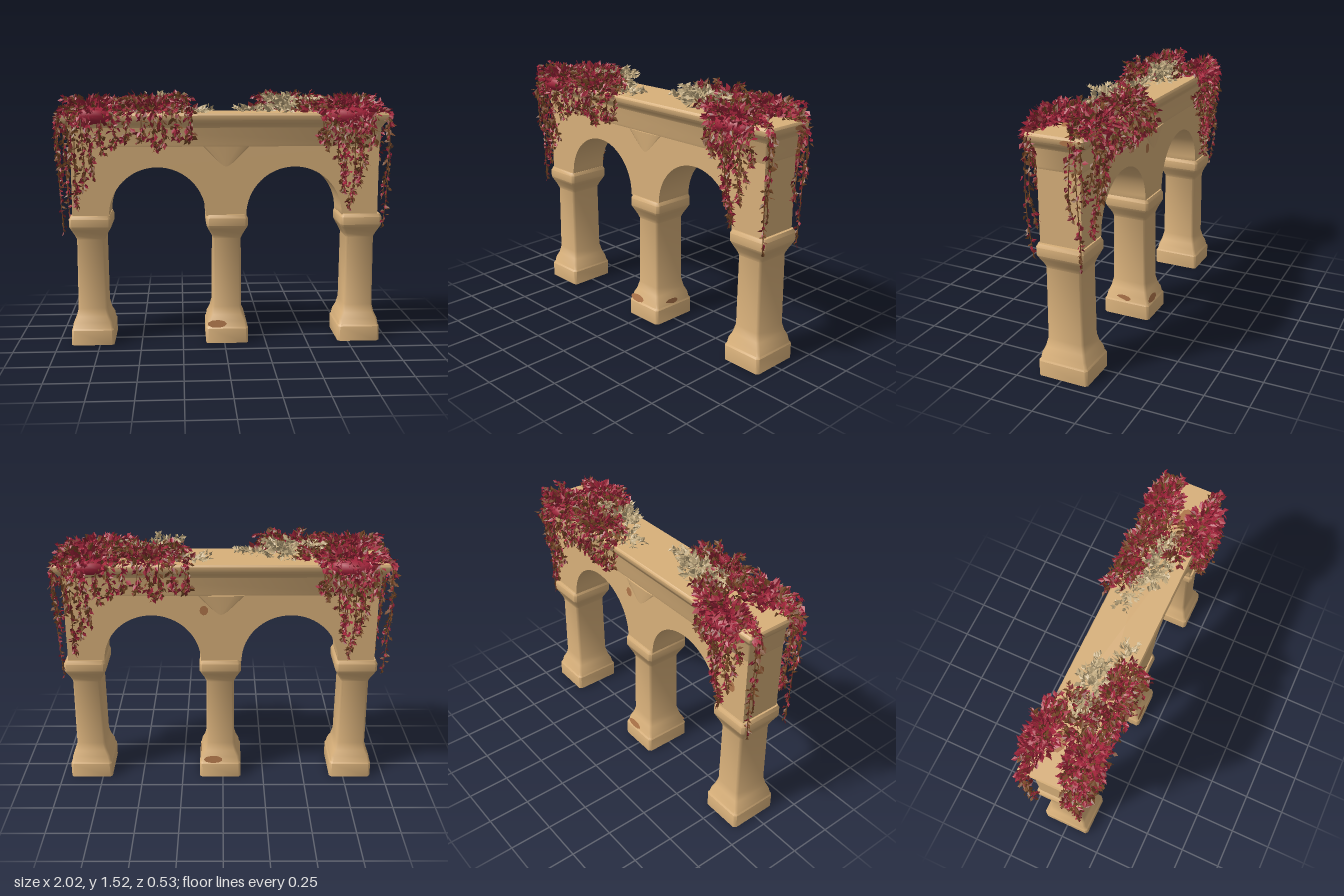
import * as THREE from 'three';
import { toCreasedNormals, mergeGeometries } from 'three/addons/utils/BufferGeometryUtils.js';

const mat = (name, color, side = THREE.FrontSide) => {
  const m = new THREE.MeshStandardMaterial({ color, side });
  m.name = name;
  return m;
};
const V = (x, y, z) => new THREE.Vector3(x, y, z);

// Stack of chamfered rectangles; each level is [y, half width, half depth]
function loftRect(levels, chamfer) {
  const pos = [], index = [], n = 8;
  for (const [y, w, d] of levels) {
    const a = w - chamfer, b = d - chamfer;
    for (const [x, z] of [[w, -b], [w, b], [a, d], [-a, d], [-w, b], [-w, -b], [-a, -d], [a, -d]]) pos.push(x, y, z);
  }
  const last = (levels.length - 1) * n, bottom = levels.length * n, top = bottom + 1;
  pos.push(0, levels[0][0], 0, 0, levels[levels.length - 1][0], 0);
  for (let j = 0; j < n; j++) {
    const k = (j + 1) % n;
    for (let i = 0; i < last; i += n) index.push(i + j, i + n + j, i + n + k, i + j, i + n + k, i + k);
    index.push(bottom, j, k, top, last + k, last + j);
  }
  const g = new THREE.BufferGeometry();
  g.setAttribute('position', new THREE.Float32BufferAttribute(pos, 3));
  g.setIndex(index);
  return toCreasedNormals(g, 0.85);
}

export function createModel() {
  const model = new THREE.Group();
  model.name = 'vineCoveredArcade';
  const stone = mat('sandstone', 0xd8b07a);
  const worn = mat('wornBrown', 0xb0764a, THREE.DoubleSide);
  const foliage = {
    crimson: mat('crimsonLeaf', 0xa3243b, THREE.DoubleSide),
    maroon: mat('maroonLeaf', 0x7e2429, THREE.DoubleSide),
    brown: mat('brownLeaf', 0x774826, THREE.DoubleSide),
    dry: mat('dryLeaf', 0xc2ab80, THREE.DoubleSide),
  };
  const add = (parent, name, geometry, material, x = 0, y = 0, z = 0) => {
    const m = new THREE.Mesh(geometry, material);
    m.name = name;
    m.position.set(x, y, z);
    parent.add(m);
    return m;
  };

  // Stonework
  const arcade = new THREE.Group();
  arcade.name = 'stoneArcade';
  arcade.position.set(0.01, 0, -0.007);
  model.add(arcade);

  const pillar = loftRect([
    [0, 0.127, 0.15], [0.09, 0.127, 0.15], [0.1, 0.121, 0.142], [0.135, 0.115, 0.135],
    [0.17, 0.098, 0.121], [0.22, 0.086, 0.11], [0.64, 0.083, 0.107], [0.665, 0.094, 0.115],
    [0.7, 0.113, 0.131], [0.72, 0.123, 0.14], [0.765, 0.123, 0.14], [0.785, 0.114, 0.132],
  ], 0.014);
  for (const x of [-0.802, 0.006, 0.808]) add(arcade, 'pillar', pillar, stone, x);

  // Wall with two round arches
  const wall = new THREE.Shape();
  wall.moveTo(-0.905, 0.78);
  for (const c of [-0.405, 0.405]) {
    wall.lineTo(c - 0.287, 0.78);
    wall.absarc(c, 0.785, 0.285, Math.PI, 0, true);
    wall.lineTo(c + 0.287, 0.78);
  }
  wall.lineTo(0.905, 0.78);
  wall.lineTo(0.905, 1.2);
  wall.lineTo(-0.905, 1.2);
  const wallGeo = new THREE.ExtrudeGeometry(wall, { depth: 0.246, bevelEnabled: false, curveSegments: 16 });
  add(arcade, 'archWall', toCreasedNormals(wallGeo, 0.5), stone, 0, 0, -0.123);

  // Frieze and flared cornice
  add(arcade, 'cornice', loftRect([
    [1.19, 0.905, 0.123], [1.205, 0.91, 0.127], [1.3, 0.915, 0.13], [1.325, 0.932, 0.147],
    [1.345, 0.95, 0.162], [1.372, 0.955, 0.168], [1.385, 0.947, 0.16],
  ], 0.008), stone);

  // Shallow corbels between the arches
  const corbel = new THREE.CylinderGeometry(0.14, 0.02, 0.12, 12);
  corbel.scale(1, 1, 0.09);
  for (const s of [-1, 1]) add(arcade, 'corbel', corbel, stone, 0, 1.13, s * 0.121);

  // Worn patches: [x, y, z, tilt, turn, width, height]
  for (const [x, y, z, tilt, turn, w, h] of [
    [-0.055, 0.118, 0.141, -0.2, 0, 0.058, 0.024], [0.05, 0.118, -0.141, 0.2, 0, 0.058, 0.024],
    [0.126, 0.118, 0.02, 0, Math.PI / 2 - 0.05, 0.05, 0.02],
    [0.1, 1.1, -0.125, 0, 0, 0.025, 0.03], [-0.8, 0.97, -0.125, 0, 0, 0.025, 0.035],
    [0.956, 1.358, -0.08, 0, Math.PI / 2, 0.04, 0.014],
    [0.72, 1.388, 0.03, -Math.PI / 2, 0, 0.07, 0.035], [-0.72, 1.388, -0.03, -Math.PI / 2, 0, 0.07, 0.035],
  ]) {
    const p = add(arcade, 'wornPatch', new THREE.CircleGeometry(1, 9), worn, x, y, z);
    p.rotation.set(tilt, turn, 0);
    p.scale.set(w, h, 1);
  }

  // Foliage: leaves are gathered per colour
  let seed = 7;
  const rnd = () => (seed = (seed * 16807) % 2147483647) / 2147483647;
  const jit = (s) => (rnd() * 2 - 1) * s;
  const rvec = (s) => V(jit(s), jit(s), jit(s));
  const leaves = { crimson: [], maroon: [], brown: [], dry: [] };
  const stems = [];
  const RED = ['crimson', 'crimson', 'crimson', 'crimson', 'maroon', 'brown'];
  const MIXED = ['crimson', 'crimson', 'maroon', 'brown', 'brown'];
  const DARK = ['maroon', 'crimson', 'brown', 'brown', 'brown'];
  const DRY = ['dry'];

  // One folded leaf made of two triangles
  function leaf(palette, p, dir, size) {
    dir.normalize();
    const side = rvec(1).cross(dir).normalize();
    const up = side.clone().cross(dir).multiplyScalar(size * 0.12);
    const mid = p.clone().addScaledVector(dir, size * 0.45).add(up);
    const tip = p.clone().addScaledVector(dir, size);
    const l = mid.clone().addScaledVector(side, size * 0.32);
    const r = mid.clone().addScaledVector(side, -size * 0.32);
    const list = leaves[palette[Math.floor(rnd() * palette.length)]];
    for (const v of [p, l, tip, p, tip, r]) list.push(v.x, v.y, v.z);
  }

  // A curved stem with leaves that thin out towards its tip
  function frond(points, spacing, spread, size, palette, tipPalette = palette) {
    const curve = new THREE.CatmullRomCurve3(points);
    const n = Math.ceil(curve.getLength() / spacing);
    if (palette !== DRY) stems.push(new THREE.TubeGeometry(curve, 8, 0.003, 3));
    for (let i = 0; i <= n; i++) {
      const t = i / n, p = curve.getPoint(t).add(rvec(spread * (1 - 0.75 * t)));
      leaf(rnd() < t * 0.8 ? tipPalette : palette, p, curve.getTangent(t).multiplyScalar(0.8).add(rvec(0.9)),
        size * (1 - 0.3 * t) * (0.8 + rnd() * 0.4));
    }
  }

  // Strand over the long edge, hanging to y = bottom on side s
  function drape(x, bottom, s, palette = MIXED) {
    const b = jit(0.015), low = Math.min(bottom + 0.12, 1.24);
    frond([V(x + jit(0.02), 1.4, s * 0.11), V(x, 1.4 + b, s * 0.17), V(x, 1.31, s * (0.212 + b)),
      V(x + jit(0.02), low, s * (0.185 + b)), V(x + jit(0.02), bottom, s * 0.16)], 0.0048, 0.032, 0.046, palette, DARK);
  }

  // Low heap of leaves with arching fronds that rise above it by lift
  function mound(c, r, count, size, palette, sprays, lift = 0.025) {
    for (let i = 0; i < count; i++) {
      const a = rnd() * Math.PI * 2, q = Math.sqrt(rnd());
      const d = V(Math.cos(a) * q, Math.sqrt(1 - q * q) * (0.3 + rnd() * 0.7), Math.sin(a) * q);
      leaf(palette, d.clone().multiply(r).add(c), d.add(rvec(0.8)), size * (0.8 + rnd() * 0.4));
    }
    for (let i = 0; i < sprays; i++) {
      const a = rnd() * Math.PI * 2, e = V(Math.cos(a), 0.3 + rnd() * 0.6, Math.sin(a)).multiply(r);
      const from = c.clone().addScaledVector(e, 0.3);
      const over = c.clone().addScaledVector(e, 0.8).add(V(0, lift, 0));
      frond([from, over, c.clone().addScaledVector(e, 1.2).add(V(0, lift * 0.6, 0))], 0.009, 0.009, size, palette);
    }
  }

  // Compact pointed drape on one face, wide ragged drape on the other
  for (const [x, y] of [[0.57, 1.25], [0.61, 1.18], [0.655, 1.1], [0.69, 0.99], [0.72, 0.92], [0.745, 0.83],
    [0.78, 0.97], [0.82, 1.08], [0.86, 1.18]]) drape(x, y, 1, RED);
  for (const [x, y] of [[0.9, 1.08], [0.86, 0.85], [0.82, 0.95], [0.78, 1.02], [0.71, 1.16], [0.64, 1.2],
    [0.56, 1.24], [0.48, 1.24], [0.41, 1.18], [0.36, 1.2], [0.28, 1.26], [0.21, 1.32]]) drape(x, y, -1);
  // Thin strands at the end of the beam
  for (const [z, y] of [[0.15, 0.72], [0.12, 0.9], [-0.1, 0.95], [-0.13, 0.7], [-0.16, 1.05]]) {
    frond([V(0.88, 1.39, z * 0.8), V(0.945, 1.385, z), V(0.966, 1.28, z), V(0.958, (1.2 + y) / 2, z + jit(0.02)),
      V(0.942, y, z + jit(0.02))], 0.0095, 0.016, 0.042, MIXED, DARK);
  }
  // Heaps on top of the beam
  mound(V(0.71, 1.385, 0.14), V(0.17, 0.06, 0.075), 190, 0.048, RED, 8);
  mound(V(0.76, 1.385, -0.125), V(0.15, 0.075, 0.085), 220, 0.048, RED, 10);
  mound(V(0.42, 1.385, -0.12), V(0.19, 0.075, 0.07), 190, 0.046, MIXED, 18, 0.045);
  mound(V(0.52, 1.385, 0.08), V(0.1, 0.05, 0.05), 60, 0.046, DARK, 6);
  mound(V(0.6, 1.385, -0.03), V(0.12, 0.08, 0.06), 80, 0.046, DARK, 8);
  mound(V(0.4, 1.385, 0.02), V(0.14, 0.08, 0.06), 80, 0.046, DRY, 12, 0.04);
  mound(V(0.2, 1.385, -0.07), V(0.12, 0.02, 0.05), 40, 0.038, DRY, 7, 0.01);

  const geos = Object.entries(leaves).map(([key, list]) => {
    const g = new THREE.BufferGeometry();
    g.setAttribute('position', new THREE.Float32BufferAttribute(list, 3));
    g.computeVertexNormals();
    return [key, g];
  });
  const stemGeo = mergeGeometries(stems);
  const core = new THREE.SphereGeometry(1, 12, 6);

  // The same planting at both ends, turned half a circle
  for (const turn of [0, Math.PI]) {
    const vine = new THREE.Group();
    vine.name = turn ? 'rightVine' : 'leftVine';
    vine.rotation.y = turn;
    model.add(vine);
    for (const [key, g] of geos) add(vine, key + 'Leaves', g, foliage[key]);
    add(vine, 'stems', stemGeo, foliage.brown);
    // Dense leaf mass beneath the loose leaves
    add(vine, 'leafMass', core, foliage.crimson, 0.73, 1.37, 0.155).scale.set(0.14, 0.055, 0.075);
    add(vine, 'leafMass', core, foliage.crimson, 0.76, 1.375, -0.15).scale.set(0.13, 0.05, 0.07);
  }
  return model;
}
